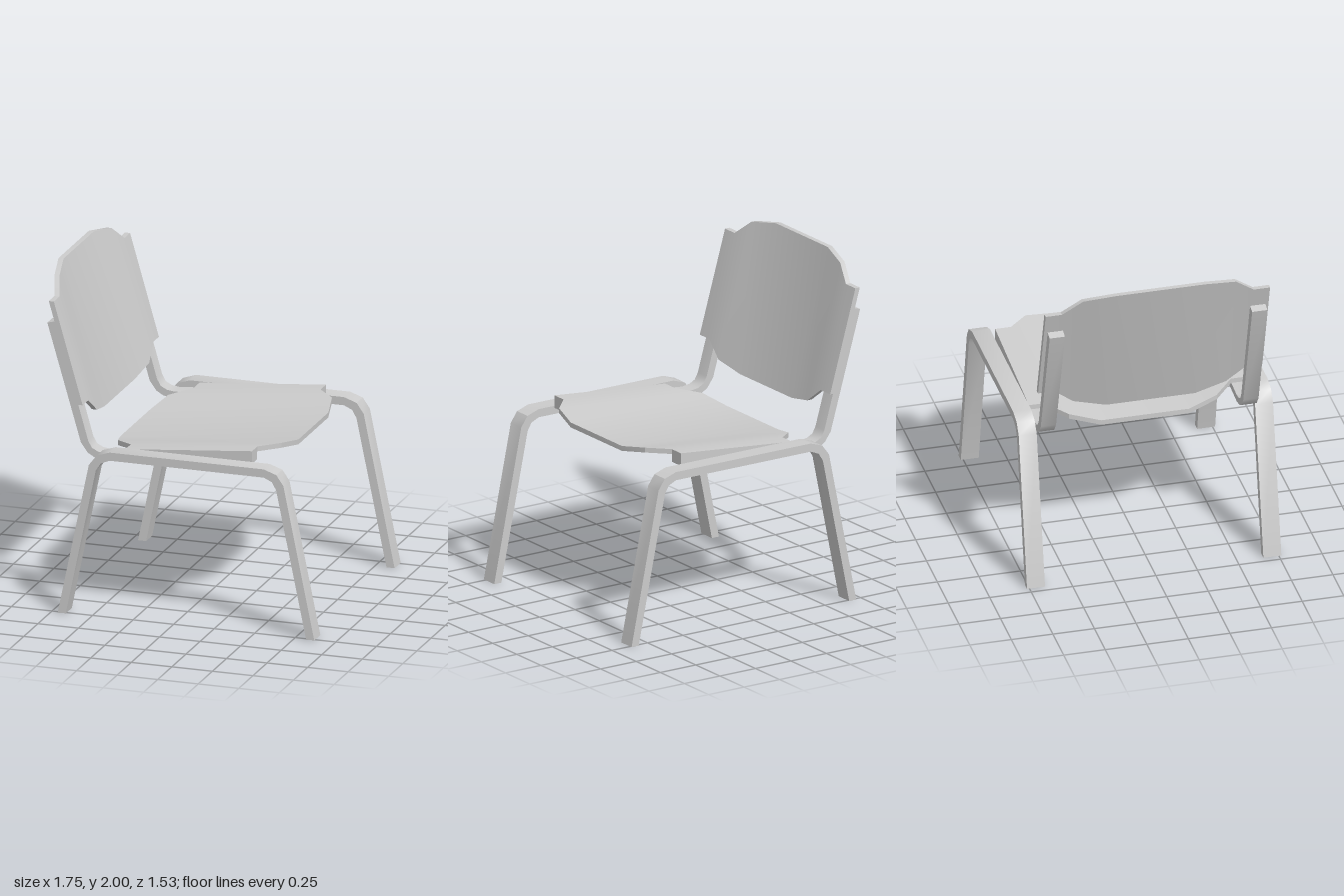
import * as THREE from 'three';
import { toCreasedNormals } from 'three/addons/utils/BufferGeometryUtils.js';

const material = new THREE.MeshStandardMaterial({ color: 0xcccccc });

// Flat bar bent in the xy plane, spanning z0..z1
function bentBar(name, outline, z0, z1) {
  const shape = new THREE.Shape(outline.map(([x, y]) => new THREE.Vector2(x, y)));
  const geo = new THREE.ExtrudeGeometry(shape, { depth: z1 - z0, bevelEnabled: false });
  geo.translate(0, 0, z0);
  const mesh = new THREE.Mesh(toCreasedNormals(geo, 0.6), material);
  mesh.name = name;
  return mesh;
}

// Curved plate lofted across z; stations are [z, low, high, dip] for one half.
// point(u, dip, side, z) places a corner, side 0 = face, 1 = underside.
function curvedPanel(name, half, point, zSign) {
  const stations = [
    ...half.map(([z, ...rest]) => [-z, ...rest]),
    ...half.slice().reverse(),
  ];
  const pos = [];
  const index = [];
  for (const [z, low, high, dip] of stations) {
    for (const [u, side] of [[low, 0], [high, 0], [high, 1], [low, 1]]) {
      pos.push(...point(u, dip, side, z * zSign));
    }
  }
  const n = stations.length;
  for (let i = 0; i < n - 1; i++) {
    for (let k = 0; k < 4; k++) {
      const a = i * 4 + k, b = i * 4 + (k + 1) % 4;
      index.push(a, a + 4, b, b, a + 4, b + 4);
    }
  }
  const e = (n - 1) * 4;
  index.push(0, 1, 2, 0, 2, 3, e, e + 2, e + 1, e, e + 3, e + 2);
  const geo = new THREE.BufferGeometry();
  geo.setAttribute('position', new THREE.Float32BufferAttribute(pos, 3));
  geo.setIndex(index);
  const mesh = new THREE.Mesh(toCreasedNormals(geo, 0.5), material);
  mesh.name = name;
  return mesh;
}

export function createModel() {
  const chair = new THREE.Group();
  chair.name = 'chair';

  // Side frame: two splayed legs joined by a top bar
  const legOutline = [
    [-0.71, 0], [-0.66, 0], [-0.475, 0.895], [-0.445, 0.942], [-0.39, 0.965],
    [0.56, 0.965], [0.61, 0.942], [0.637, 0.895], [0.822, 0], [0.872, 0],
    [0.682, 0.925], [0.638, 0.988], [0.56, 1.015],
    [-0.39, 1.015], [-0.47, 0.988], [-0.518, 0.925],
  ];
  // Rail: runs under the seat and bends up behind the backrest
  const railOutline = [
    [0.45, 1.003], [0.45, 1.05], [-0.45, 0.968], [-0.5, 0.975], [-0.538, 0.995],
    [-0.56, 1.035], [-0.763, 1.745], [-0.812, 1.732],
    [-0.605, 1.02], [-0.563, 0.962], [-0.52, 0.937], [-0.45, 0.925],
  ];
  for (const s of [-1, 1]) {
    const span = (a, b) => (s > 0 ? [a, b] : [-b, -a]);
    chair.add(bentBar('sideFrame', legOutline, ...span(0.657, 0.765)));
    chair.add(bentBar('backRail', railOutline, ...span(0.563, 0.655)));
  }

  // Seat: rises toward the front, dished across the middle
  chair.add(curvedPanel('seat', [
    [0.655, -0.33, 0.45, 0], [0.56, -0.33, 0.45, 0],
    [0.445, -0.45, 0.56, 0.012], [0.265, -0.5, 0.6, 0.047],
  ], (u, dip, side, z) => [u, 1.08 + 0.092 * (u - 0.45) - dip - 0.03 * side, z], 1));

  // Backrest: leans back, dished across the middle
  chair.add(curvedPanel('backrest', [
    [0.675, 1.255, 1.872, 0], [0.577, 1.255, 1.872, 0],
    [0.46, 1.163, 1.965, 0.012], [0.268, 1.122, 2, 0.045],
  ], (u, dip, side, z) => [-0.765 - 0.288 * (u - 1.872) - dip - 0.031 * side, u, z], -1));

  return chair;
}
